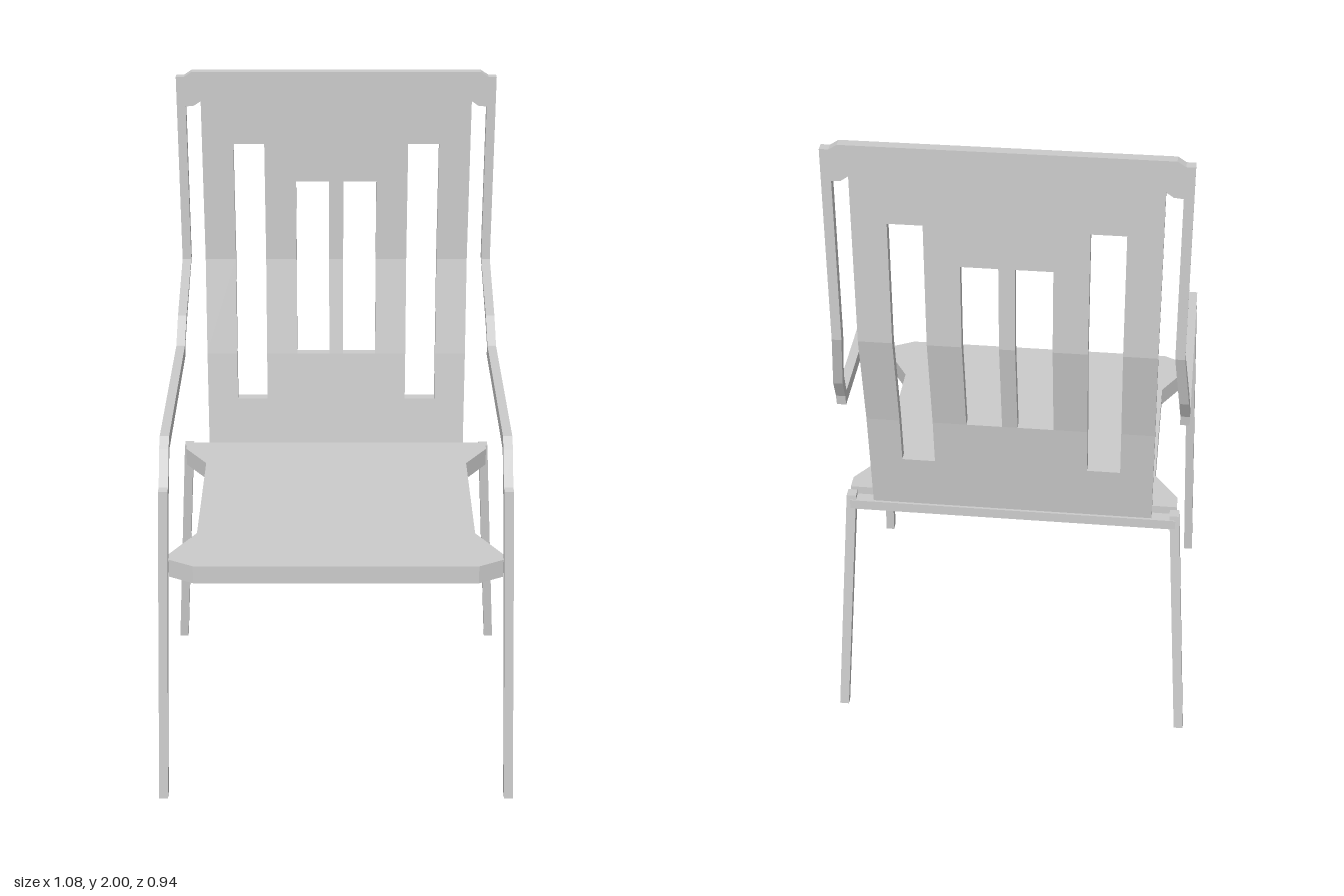
import * as THREE from 'three';

const material = new THREE.MeshStandardMaterial({ color: 0xcccccc, flatShading: true });

// Four-sided bar through sections [xCentre, zFront, yFront, zBack, yBack]
function bar(name, width, sections) {
  const rings = sections.map(([x, za, ya, zb, yb]) => [
    [x - width / 2, ya, za], [x + width / 2, ya, za],
    [x + width / 2, yb, zb], [x - width / 2, yb, zb],
  ]);
  const pos = [];
  const quad = (a, b, c, d) => pos.push(...a, ...b, ...c, ...a, ...c, ...d);
  for (let k = 0; k < rings.length - 1; k++) {
    for (let i = 0; i < 4; i++) {
      const j = (i + 1) % 4;
      quad(rings[k][i], rings[k][j], rings[k + 1][j], rings[k + 1][i]);
    }
  }
  quad(...[...rings[0]].reverse());
  quad(...rings[rings.length - 1]);
  const geo = new THREE.BufferGeometry();
  geo.setAttribute('position', new THREE.Float32BufferAttribute(pos, 3));
  geo.computeVertexNormals();
  return part(name, geo);
}

function part(name, geo) {
  const mesh = new THREE.Mesh(geo, material);
  mesh.name = name;
  return mesh;
}

// Shape symmetric about x = 0, given its right half from top to bottom
function symmetricShape(half) {
  const left = half.map(([x, y]) => [-x, y]).reverse();
  return new THREE.Shape([...half, ...left].map(([x, y]) => new THREE.Vector2(x, y)));
}

// Front surface of the bent backrest: [y, z]
const BEND = [[0.77, -0.343], [1.1, -0.382], [1.4, -0.438], [2, -0.438]];
const THICK = 0.028;

function backZ(y) {
  for (let i = 1; i < BEND.length; i++) {
    const [y0, z0] = BEND[i - 1], [y1, z1] = BEND[i];
    if (y <= y1) return z0 + (z1 - z0) * (y - y0) / (y1 - y0);
  }
  return BEND[BEND.length - 1][1];
}

// Piece of the backrest following the bend
function slat(x0, x1, y0, y1) {
  const ys = [y0, ...BEND.map(p => p[0]).filter(y => y > y0 && y < y1), y1];
  const x = (x0 + x1) / 2;
  return bar('backSlat', x1 - x0, ys.map(y => [x, backZ(y), y, backZ(y) - THICK, y]));
}

export function createModel() {
  const chair = new THREE.Group();
  chair.name = 'armchair';

  // Seat with cut-in sides
  const seat = new THREE.ExtrudeGeometry(symmetricShape([
    [0.482, 0.345], [0.482, 0.3], [0.412, 0.2], [0.412, -0.25],
    [0.487, -0.375], [0.485, -0.405], [0.412, -0.443],
  ]), { depth: 0.057, bevelEnabled: false });
  seat.rotateX(-Math.PI / 2).translate(0, 0.744, 0);
  chair.add(part('seat', seat));

  // Rail joining the rear legs
  const rail = new THREE.BoxGeometry(0.96, 0.031, 0.036);
  rail.translate(0, 0.76, -0.361);
  chair.add(part('rearRail', rail));

  // Backrest with four slots
  const back = new THREE.Group();
  back.name = 'backrest';
  const TOP = 1.91, BOTTOM = 0.77;
  back.add(slat(-0.022, 0.022, BOTTOM, TOP));
  for (const s of [1, -1]) {
    const add = (a, b, y0, y1) => back.add(slat(Math.min(s * a, s * b), Math.max(s * a, s * b), y0, y1));
    add(0.022, 0.124, BOTTOM, 1.1);
    add(0.022, 0.124, 1.655, TOP);
    add(0.124, 0.22, BOTTOM, TOP);
    add(0.22, 0.315, BOTTOM, 0.95);
    add(0.22, 0.315, 1.775, TOP);
    add(0.315, 0.41, BOTTOM, TOP);
  }
  const topRail = new THREE.ExtrudeGeometry(symmetricShape([
    [0.435, 2], [0.458, 1.985], [0.458, 1.893], [0.43, 1.896], [0.41, 1.91],
  ]), { depth: THICK, bevelEnabled: false });
  topRail.translate(0, 0, backZ(2) - THICK);
  back.add(part('topRail', topRail));
  chair.add(back);

  for (const s of [1, -1]) {
    const side = s > 0 ? 'left' : 'right';
    // Front leg, armrest and back post in one continuous bar
    chair.add(bar(side + 'FrontLegArmAndPost', 0.027, [
      [0.525, 0.473, 0, 0.443, 0],
      [0.492, 0.408, 1.025, 0.377, 1.0],
      [0.491, 0.388, 1.028, 0.376, 1.002],
      [0.491, 0.328, 1.12, 0.314, 1.093],
      [0.491, 0.293, 1.145, 0.293, 1.107],
      [0.491, -0.338, 1.145, -0.358, 1.107],
      [0.491, -0.342, 1.147, -0.363, 1.14],
      [0.486, -0.386, 1.23, -0.409, 1.215],
      [0.469, -0.438, 1.4, -0.465, 1.4],
      [0.469, -0.438, 1.985, -0.465, 1.985],
    ].map(([x, ...rest]) => [s * x, ...rest])));
    // Rear leg
    chair.add(bar(side + 'RearLeg', 0.028, [
      [s * 0.525, -0.424, 0.012, -0.446, 0.012],
      [s * 0.476, -0.344, 0.79, -0.375, 0.79],
    ]));
  }
  return chair;
}
